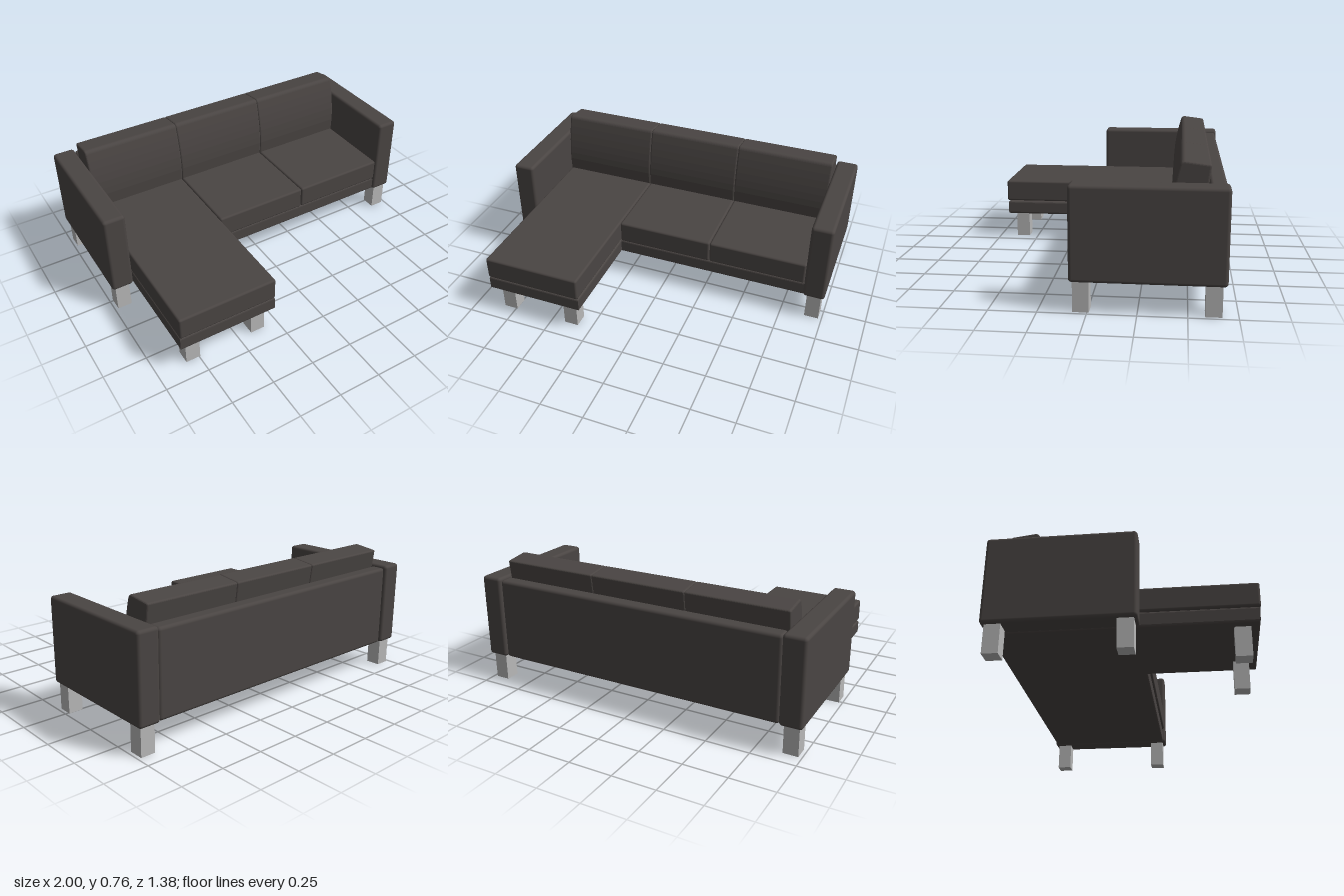
import * as THREE from 'three';
import { RoundedBoxGeometry } from 'three/addons/geometries/RoundedBoxGeometry.js';

export function createModel() {
  const sofa = new THREE.Group();
  sofa.name = 'cornerSofa';
  const leather = new THREE.MeshStandardMaterial({ color: 0x4a4543 });
  leather.name = 'dark brown leather';
  const metal = new THREE.MeshStandardMaterial({ color: 0xb8b8b8 });
  metal.name = 'light grey metal';

  const add = (name, geometry, material) => {
    const mesh = new THREE.Mesh(geometry, material);
    mesh.name = name;
    sofa.add(mesh);
    return mesh;
  };
  // Rounded block given by its limits on each axis
  const block = (name, [x0, x1], [y0, y1], [z0, z1], radius) => {
    const mesh = add(name, new RoundedBoxGeometry(x1 - x0, y1 - y0, z1 - z0, 3, radius), leather);
    mesh.position.set((x0 + x1) / 2, (y0 + y1) / 2, (z0 + z1) / 2);
  };
  // Bevelled extrusion that keeps the given outline and total depth
  const padded = (shape, depth, bevel) => {
    const g = new THREE.ExtrudeGeometry(shape, {
      depth: depth - 2 * bevel, bevelEnabled: true, bevelSize: bevel,
      bevelOffset: -bevel, bevelThickness: bevel, bevelSegments: 3, curveSegments: 6,
    });
    return g.translate(0, 0, bevel);
  };

  // Arms and back panel
  block('leftArm', [0.872, 1], [0.16, 0.652], [-0.692, 0.092], 0.018);
  block('rightArm', [-1, -0.872], [0.16, 0.652], [-0.692, 0.092], 0.018);
  block('backPanel', [-0.872, 0.872], [0.16, 0.64], [-0.682, -0.595], 0.018);

  // L-shaped base, drawn in plan and laid flat
  const plan = new THREE.Shape([
    [-0.873, 0.63], [-0.873, -0.685], [-0.293, -0.685],
    [-0.293, -0.078], [0.873, -0.078], [0.873, 0.63],
  ].map(([x, y]) => new THREE.Vector2(x, y)));
  add('base', padded(plan, 0.085, 0.012).rotateX(-Math.PI / 2), leather).position.y = 0.161;

  // Seat cushions: chaise on the right, two ordinary seats beside it
  const seams = [-0.875, -0.292, 0.288, 0.873];
  const fronts = [0.692, 0.088, 0.088];
  const names = ['right', 'middle', 'left'];

  // Leaning back-cushion profile (x holds -z, y is height)
  const profile = new THREE.Shape();
  profile.moveTo(0.405, 0.375);
  profile.lineTo(0.555, 0.375);
  profile.lineTo(0.6, 0.73);
  profile.quadraticCurveTo(0.6, 0.738, 0.59, 0.74);
  profile.lineTo(0.472, 0.755);
  profile.quadraticCurveTo(0.452, 0.757, 0.445, 0.738);
  profile.quadraticCurveTo(0.402, 0.59, 0.4, 0.46);
  profile.closePath();

  names.forEach((side, i) => {
    const x0 = seams[i], x1 = seams[i + 1];
    block(side + 'SeatCushion', [x0 + 0.001, x1 - 0.001], [0.25, 0.383], [-0.6, fronts[i]], 0.012);
    const cushion = padded(profile, x1 - x0 + 0.002, 0.01).rotateY(Math.PI / 2);
    add(side + 'BackCushion', cushion, leather).position.x = x0 - 0.001;
  });

  // Square legs: four under the arms, two under the chaise
  const legSpots = [
    [-0.938, -0.627], [0.938, -0.627], [-0.938, 0.032], [0.938, 0.032],
    [-0.785, 0.598], [-0.377, 0.598],
  ];
  for (const [x, z] of legSpots) {
    add('leg', new THREE.BoxGeometry(0.084, 0.165, 0.084), metal).position.set(x, 0.0825, z);
  }
  return sofa;
}
